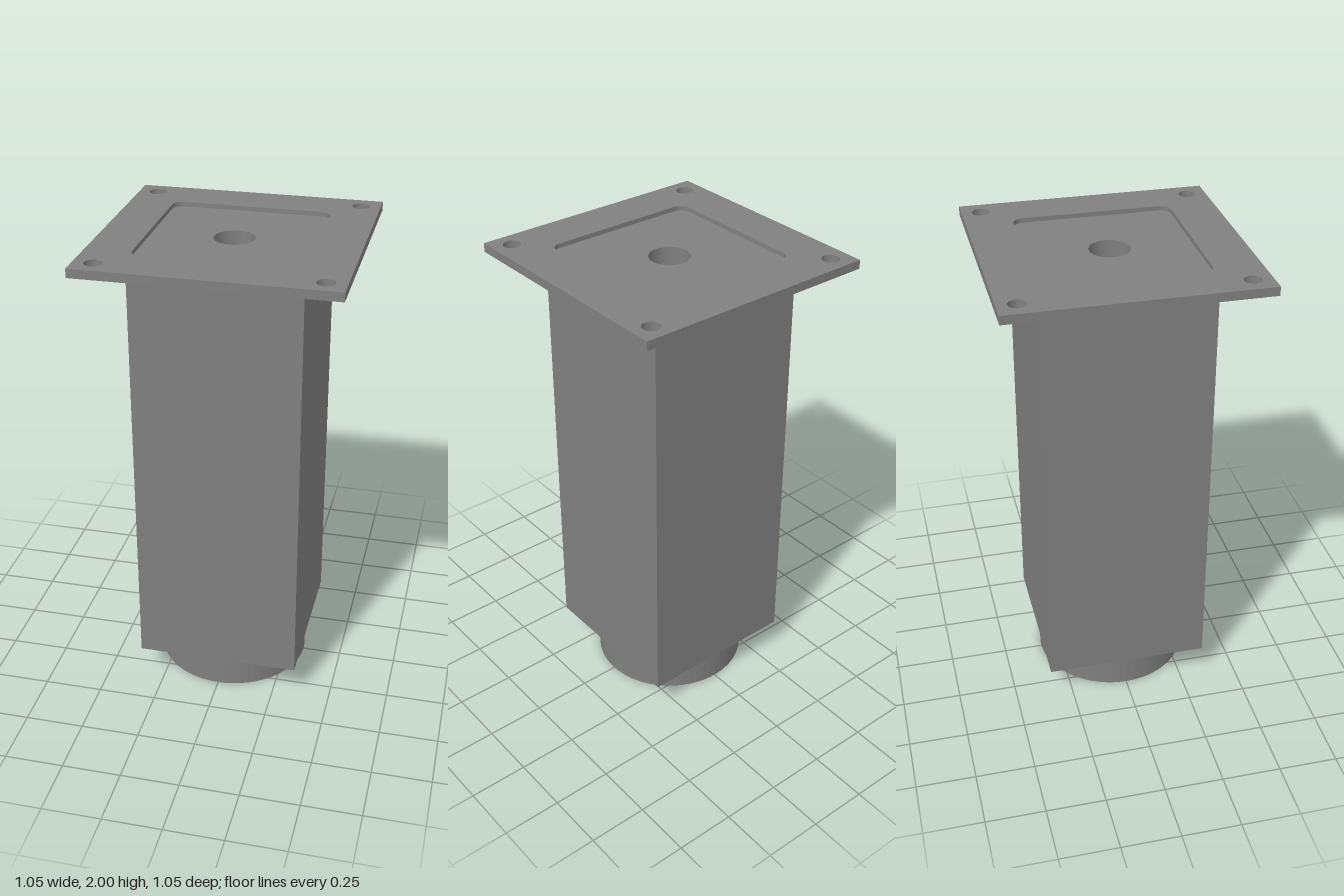
import * as THREE from 'three';

const BORE = 0.084;
const steel = new THREE.MeshStandardMaterial({ color: 0x808080 });
steel.name = 'grey steel';

// Rectangle outline with optional rounded corners
function rectangle(w, d, r, Type = THREE.Shape) {
  const s = new Type();
  if (r === 0) {
    s.moveTo(-w, -d).lineTo(w, -d).lineTo(w, d).lineTo(-w, d).closePath();
    return s;
  }
  s.moveTo(-w + r, -d);
  s.lineTo(w - r, -d).absarc(w - r, -d + r, r, -Math.PI / 2, 0);
  s.lineTo(w, d - r).absarc(w - r, d - r, r, 0, Math.PI / 2);
  s.lineTo(-w + r, d).absarc(-w + r, d - r, r, Math.PI / 2, Math.PI);
  s.lineTo(-w, -d + r).absarc(-w + r, -d + r, r, Math.PI, Math.PI * 1.5);
  return s;
}

function circle(x, y, r, Type = THREE.Path) {
  return new Type().absarc(x, y, r, 0, Math.PI * 2);
}

// Extrude an outline upward between two heights
function slab(name, shape, holes, y0, y1) {
  shape.holes.push(...holes);
  const geo = new THREE.ExtrudeGeometry(shape, { depth: y1 - y0, bevelEnabled: false, curveSegments: 32 });
  geo.rotateX(-Math.PI / 2).translate(0, y0, 0);
  const mesh = new THREE.Mesh(geo, steel);
  mesh.name = name;
  return mesh;
}

export function createModel() {
  const leg = new THREE.Group();
  leg.name = 'furnitureLeg';

  // Round foot with a central bore
  leg.add(slab('foot', circle(0, 0, 0.33, THREE.Shape), [circle(0, 0, BORE)], 0, 0.143));

  // Square column
  leg.add(slab('column', rectangle(0.348, 0.348, 0), [circle(0, 0, BORE)], 0.143, 1.963));

  // Mounting plate with four screw holes and a rounded recess
  const holes = [rectangle(0.337, 0.332, 0.045, THREE.Path)];
  for (const x of [-0.442, 0.442]) {
    for (const z of [-0.444, 0.444]) holes.push(circle(x, z, 0.036));
  }
  leg.add(slab('mountingPlate', rectangle(0.523, 0.523, 0), holes, 1.963, 2));

  // Recessed floor inside the plate
  leg.add(slab('recessFloor', rectangle(0.337, 0.332, 0.045), [circle(0, 0, BORE)], 1.963, 1.981));

  return leg;
}
